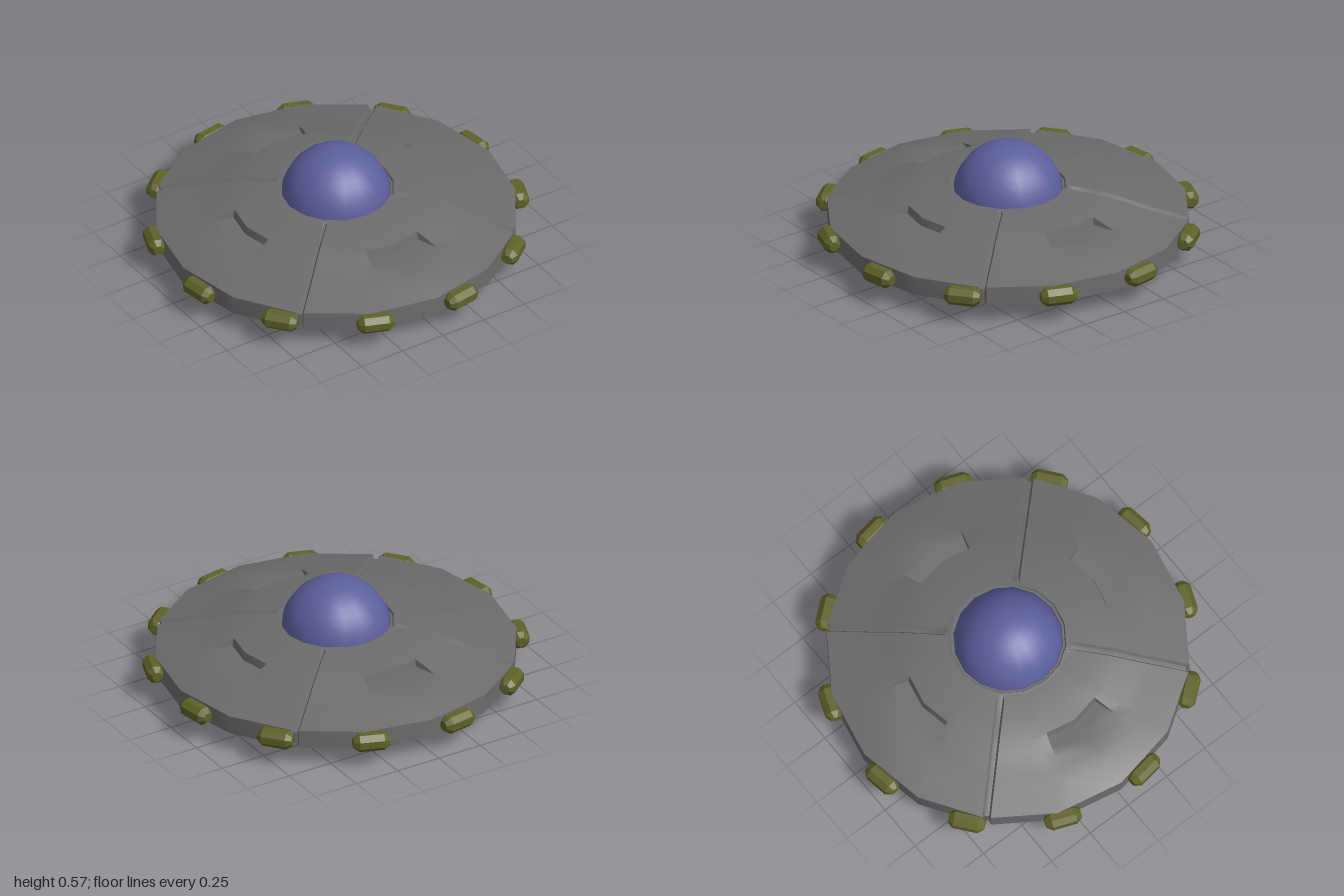
import * as THREE from 'three';
import { toCreasedNormals } from 'three/addons/utils/BufferGeometryUtils.js';

const SIDES = 16;
const STEP = (Math.PI * 2) / SIDES;
const rad = THREE.MathUtils.degToRad;

const paint = (color, extra = {}) => new THREE.MeshStandardMaterial({ color, ...extra });

function addMesh(parent, name, geometry, material) {
  const mesh = new THREE.Mesh(geometry, material);
  mesh.name = name;
  parent.add(mesh);
  return mesh;
}

// Hull rows, from the dome opening over the rim to the belly opening:
// [radius, height, vent height change, groove inset, groove drop]
const ROWS = [
  [0.315, 0.34, 0, 0, 0],
  [0.35, 0.337, 0, 0, -0.018],
  [0.45, 0.324, 0, 0, -0.018],
  [0.55, 0.306, 0, 0, -0.018],
  [0.56, 0.303, -0.038, 0, -0.018],
  [0.62, 0.287, -0.022, 0, -0.018],
  [0.68, 0.266, 0, 0, -0.018],
  [0.74, 0.251, 0.012, 0, -0.018],
  [0.82, 0.231, 0.017, 0, -0.018],
  [0.94, 0.2, 0, 0.018, -0.018],
  [0.94, 0.1, 0, 0.018, 0.018],
  [0.34, 0, 0, 0, 0.018],
];

// Columns of one quarter, centred on its vent: [degrees, sideways offset, groove, vent]
const COLUMNS = [
  [-45, 0, 1, 0], [-45, 0.012, 1, 0], [-45, 0.022, 0, 0],
  [-22.5, 0, 0, 0], [-16.9, 0, 0, 0], [-16.5, 0, 0, 1],
  [0, 0, 0, 1],
  [16.5, 0, 0, 1], [16.9, 0, 0, 0], [22.5, 0, 0, 0],
  [45, -0.022, 0, 0], [45, -0.012, 1, 0],
];

// Hull shell with four sunken vents and four diagonal panel grooves
function hullGeometry() {
  const positions = [];
  const index = [];
  const total = COLUMNS.length * 4;
  for (const [radius, height, vent, inset, drop] of ROWS) {
    for (let j = 0; j < total; j++) {
      const [deg, offset, groove, open] = COLUMNS[j % COLUMNS.length];
      const local = rad(deg) + offset / radius;
      const angle = local + Math.floor(j / COLUMNS.length) * Math.PI / 2;
      // keep every column on the flat sides of the polygon
      const along = ((local % STEP) + STEP) % STEP;
      const r = (radius - inset * groove) * Math.cos(STEP / 2) / Math.cos(along - STEP / 2);
      // vents cut in sharply, the swelling outside them fades out
      const weight = vent < 0 ? open : Math.max(0, 1 - Math.abs(deg) / 22.5);
      const y = height + vent * weight + drop * groove;
      positions.push(r * Math.sin(angle), y, r * Math.cos(angle));
    }
  }
  for (let i = 0; i < ROWS.length - 1; i++) {
    for (let j = 0; j < total; j++) {
      const k = (j + 1) % total;
      const a = i * total + j, b = a + total, c = i * total + k, d = c + total;
      index.push(a, b, d, a, d, c);
    }
  }
  const geometry = new THREE.BufferGeometry();
  geometry.setAttribute('position', new THREE.Float32BufferAttribute(positions, 3));
  geometry.setIndex(index);
  return toCreasedNormals(geometry, 0.5);
}

const lathe = (points, sides) =>
  new THREE.LatheGeometry(points.map(([x, y]) => new THREE.Vector2(x, y)), sides);

export function createModel() {
  const model = new THREE.Group();
  model.name = 'flyingSaucer';
  const hullPaint = paint(0x6b6b6b, { side: THREE.DoubleSide });
  const domePaint = paint(0x5c5e9c, { side: THREE.DoubleSide });
  const podPaint = paint(0x5f6128, { flatShading: true });

  addMesh(model, 'hull', hullGeometry(), hullPaint);

  // Collar seating the dome, with a shallow ring groove
  const collar = lathe([
    [0.316, 0.34], [0.302, 0.342], [0.296, 0.33], [0.285, 0.33], [0.278, 0.315],
  ].reverse(), SIDES);
  addMesh(model, 'domeCollar', toCreasedNormals(collar, 0.5), hullPaint);

  // Glass dome
  const dome = new THREE.SphereGeometry(0.285, SIDES, 10, 0, Math.PI * 2, 0, rad(84));
  addMesh(model, 'dome', dome, domePaint).position.y = 0.285;

  // Twelve chamfered pods around the rim
  const podShape = lathe([
    [0, -0.095], [0.027, -0.095], [0.051, -0.065],
    [0.051, 0.065], [0.027, 0.095], [0, 0.095],
  ], 8);
  podShape.rotateY(Math.PI / 8).rotateZ(Math.PI / 2);
  const pods = new THREE.Group();
  pods.name = 'rimPods';
  model.add(pods);
  for (let i = 0; i < 12; i++) {
    const angle = rad(9 + i * 30);
    const pod = addMesh(pods, 'rimPod', podShape, podPaint);
    pod.position.set(0.953 * Math.sin(angle), 0.15, 0.953 * Math.cos(angle));
    pod.rotation.y = angle;
  }
  return model;
}
